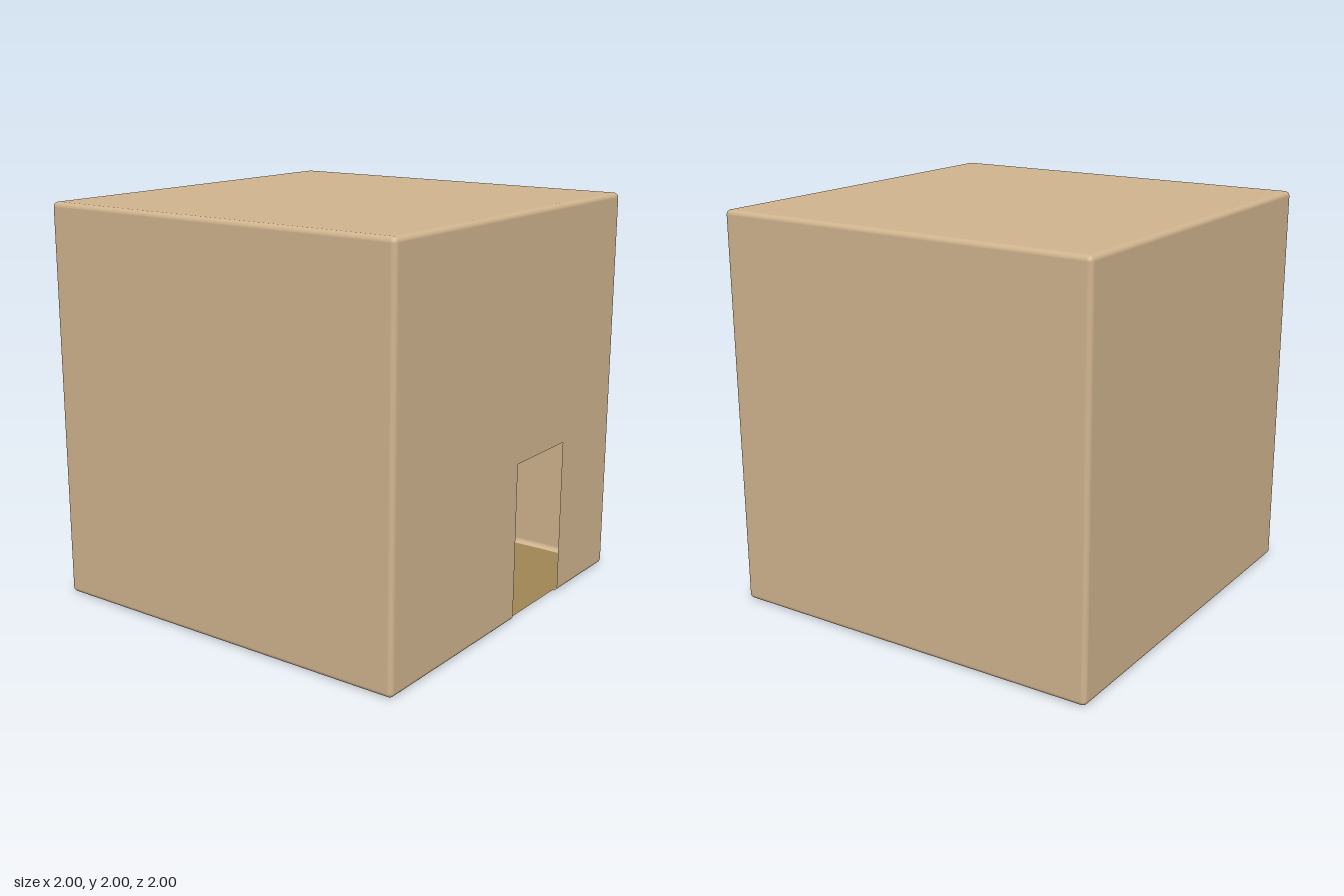
import * as THREE from 'three';
import { RoundedBoxGeometry } from 'three/addons/geometries/RoundedBoxGeometry.js';

const SIZE = 2, RADIUS = 0.025, FLAT = SIZE / 2 - RADIUS;
const DOOR = { left: 0.04, right: 0.49, top: 0.8 };

// Hollow rounded cube: underside left out, front split either side of the doorway
function shellGeometry() {
  const box = new RoundedBoxGeometry(SIZE, SIZE, SIZE, 4, RADIUS).translate(0, SIZE / 2, 0);
  const pos = box.attributes.position, nor = box.attributes.normal;
  const positions = [], normals = [];
  const add = (i, mapX = (x) => x) => {
    for (let k = i; k < i + 3; k++) {
      positions.push(mapX(pos.getX(k)), pos.getY(k), pos.getZ(k));
      normals.push(nor.getX(k), nor.getY(k), nor.getZ(k));
    }
  };
  const remap = (a, b) => (x) => a + ((x + FLAT) / (2 * FLAT)) * (b - a);

  for (let i = 0; i < pos.count; i += 3) {
    const bounds = new THREE.Box3().setFromPoints(
      [0, 1, 2].map((k) => new THREE.Vector3().fromBufferAttribute(pos, i + k)));
    const { min, max } = bounds;
    const wide = max.x - min.x > 1;
    if (max.y < 0.001 && wide && max.z - min.z > 1) continue; // floor panel is its own part
    if (wide && min.z > FLAT - 0.001 && min.y < RADIUS + 0.001) {
      add(i, remap(-FLAT, DOOR.left));
      add(i, remap(DOOR.right, FLAT));
    } else add(i);
  }
  const geo = new THREE.BufferGeometry();
  geo.setAttribute('position', new THREE.Float32BufferAttribute(positions, 3));
  geo.setAttribute('normal', new THREE.Float32BufferAttribute(normals, 3));
  return geo;
}

export function createModel() {
  const model = new THREE.Group();
  model.name = 'cubeHouse';
  const wallMat = new THREE.MeshStandardMaterial({ color: 0xd0b48e, side: THREE.DoubleSide });
  const floorMat = new THREE.MeshStandardMaterial({ color: 0xa08654, side: THREE.DoubleSide });

  const part = (name, geometry, material) => {
    const mesh = new THREE.Mesh(geometry, material);
    mesh.name = name;
    model.add(mesh);
    return mesh;
  };

  // Walls and roof
  part('wallsAndRoof', shellGeometry(), wallMat);

  // Wall above the doorway
  const height = SIZE - RADIUS - DOOR.top;
  part('wallAboveDoor', new THREE.PlaneGeometry(DOOR.right - DOOR.left, height), wallMat)
    .position.set((DOOR.left + DOOR.right) / 2, DOOR.top + height / 2, SIZE / 2);

  // Floor
  part('floor', new THREE.PlaneGeometry(2 * FLAT, 2 * FLAT).rotateX(-Math.PI / 2), floorMat);

  return model;
}
